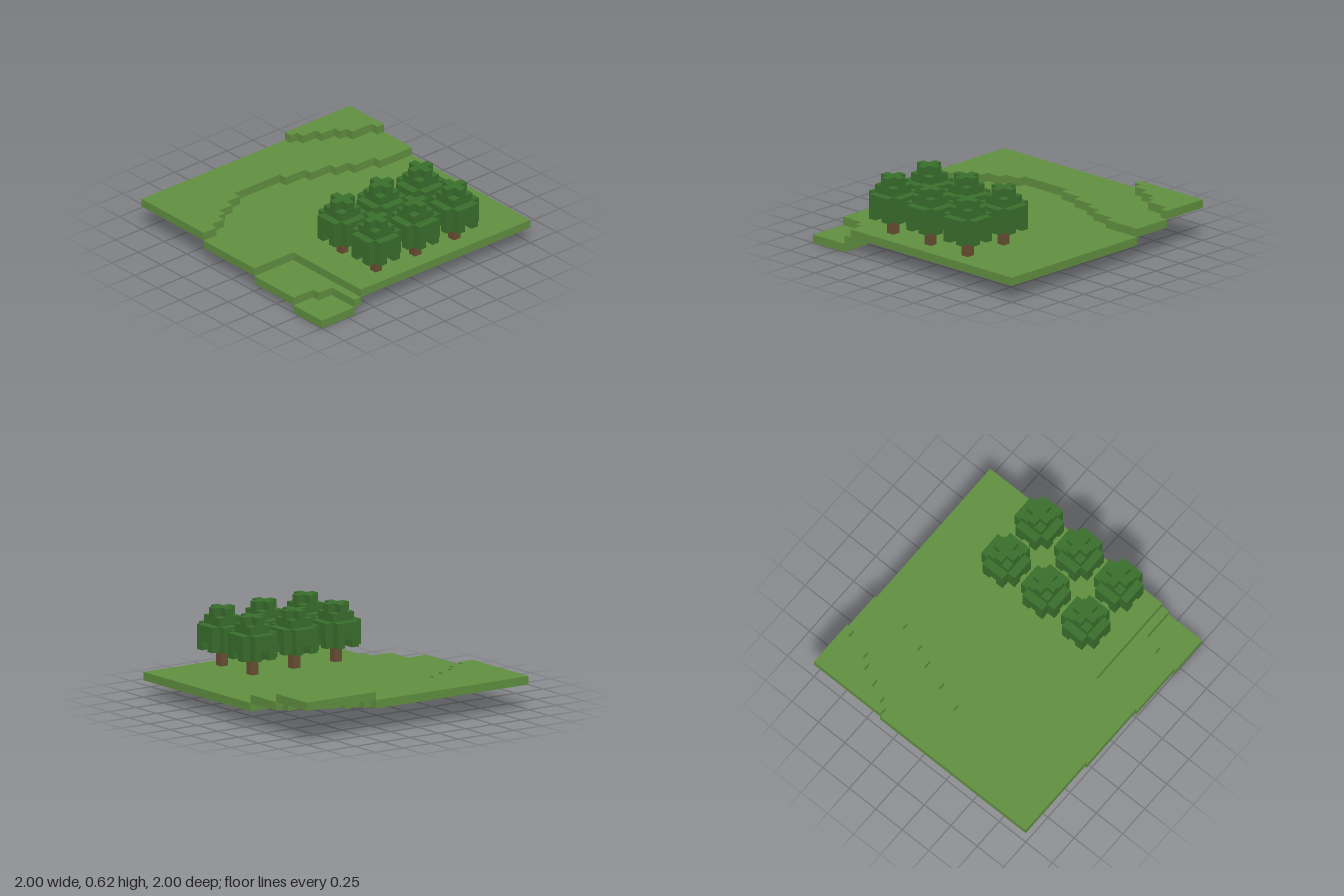
import * as THREE from 'three';

const U = 1 / 16; // one block

const mat = (name, color) => {
  const m = new THREE.MeshStandardMaterial({ color });
  m.name = name;
  return m;
};

// Upright slab from a plan outline of [x, z] points, in blocks
function slab(name, outline, y0, y1, material, holes = []) {
  const v = ([x, z]) => new THREE.Vector2(x * U, -z * U);
  const shape = new THREE.Shape(outline.map(v));
  holes.forEach(h => shape.holes.push(new THREE.Path(h.map(v))));
  const geo = new THREE.ExtrudeGeometry(shape, { depth: (y1 - y0) * U, bevelEnabled: false });
  geo.rotateX(-Math.PI / 2);
  const mesh = new THREE.Mesh(geo, material);
  mesh.name = name;
  mesh.position.y = y0 * U;
  return mesh;
}

// Stepped edge: each entry is [z where the step ends, x of the edge]
function stairs(steps) {
  const pts = [];
  let z = -16;
  for (const [end, x] of steps) {
    pts.push([x, z], [x, end]);
    z = end;
  }
  return pts;
}

const square = (cx, cz, r) => [[cx - r, cz - r], [cx + r, cz - r], [cx + r, cz + r], [cx - r, cz + r]];

// Square of half size a with arms reaching out to half size b
const cross = (a, b) => [
  [-a, -b], [a, -b], [a, -a], [b, -a], [b, a], [a, a],
  [a, b], [-a, b], [-a, a], [-b, a], [-b, -a], [-a, -a]];

function makeTree(leaves, bark) {
  const tree = new THREE.Group();
  tree.name = 'tree';
  // trunk reaches through the ground slab
  tree.add(slab('trunk', square(0, 0, 0.5), 2, 6, bark));
  // four hanging lobes around the trunk
  const lobe = [[0.5, 0.5], [2.5, 0.5], [2.5, 1.5], [1.5, 1.5], [1.5, 2.5], [0.5, 2.5]];
  for (const sx of [-1, 1]) for (const sz of [-1, 1]) {
    tree.add(slab('lowerLeaves', lobe.map(([x, z]) => [x * sx, z * sz]), 5, 6, leaves));
  }
  tree.add(slab('wideLeaves', cross(1.5, 2.5), 6, 8, leaves));
  tree.add(slab('upperLeaves', square(0, 0, 1.5), 8, 9, leaves));
  tree.add(slab('topLeaves', cross(0.5, 1.5), 9, 10, leaves));
  return tree;
}

export function createModel() {
  const grass = mat('grass green', 0x629141);
  const leaves = mat('leaf green', 0x3a702d);
  const bark = mat('bark brown', 0x6b5034);
  const model = new THREE.Group();
  model.name = 'terracedGrove';

  // edges between the terraces
  const hillEdge = stairs([[-11, -5], [-8, -6], [-6, -7], [-3, -8], [0, -9], [7, -10],
    [9, -9], [11, -8], [12, -7], [14, -6], [16, -5]]);
  const topEdge = stairs([[-15, -10], [-12, -11], [-11, -12], [-9, -13], [-7, -14], [-6, -15]]);
  const hollowEdge = [[11, 16], [11, 13], [12, 13], [12, 11], [16, 11]];

  const spots = [];
  for (const x of [7.5, 13.5]) for (const z of [-6.5, -0.5, 5.5]) spots.push([x, z]);

  // terraces, lowest to highest, each one block thick
  model.add(slab('lowestTerrace', [...hollowEdge, [16, 16]], 0, 1, grass));
  model.add(slab('lowTerrace', [[16, 10], [4, 10], [4, 16], ...hollowEdge], 1, 2, grass));
  model.add(slab('mainGround', [...hillEdge, [4, 16], [4, 10], [16, 10], [16, -16]], 2, 3, grass,
    spots.map(([x, z]) => square(x, z, 0.5))));
  model.add(slab('highTerrace', [...hillEdge, [-16, 16], [-16, -6], ...[...topEdge].reverse()], 3, 4, grass));
  model.add(slab('highestTerrace', [...topEdge, [-16, -6], [-16, -16]], 4, 5, grass));

  // two rows of three trees
  for (const [x, z] of spots) {
    const tree = makeTree(leaves, bark);
    tree.position.set(x * U, 0, z * U);
    model.add(tree);
  }
  return model;
}
